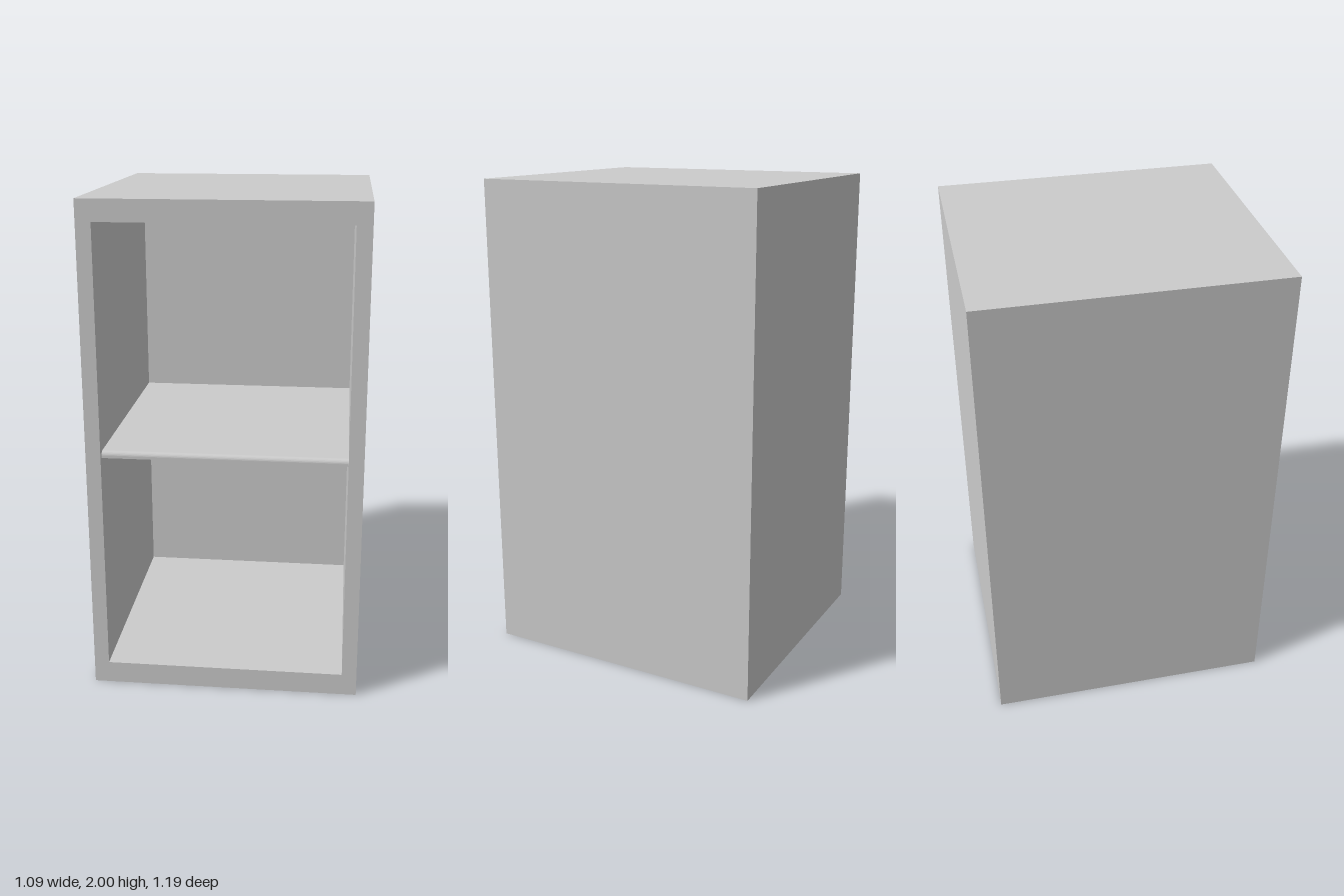
import * as THREE from 'three';

const W = 1.09, H = 2, D = 1.19;          // outer size
const IN_X = 0.485, IN_LOW = 0.09, IN_TOP = 1.915; // opening
const BACK = 0.155;                        // back panel thickness

const material = new THREE.MeshStandardMaterial({ color: 0xcccccc });

function part(name, geometry) {
  const mesh = new THREE.Mesh(geometry, material);
  mesh.name = name;
  return mesh;
}

// Closed rectangle outline, for a shape or a hole
function rectangle(Type, x, y0, y1) {
  return new Type([[-x, y0], [x, y0], [x, y1], [-x, y1]].map(p => new THREE.Vector2(...p)));
}

export function createModel() {
  const group = new THREE.Group();
  group.name = 'cabinet';

  // Sides, top and bottom as one frame around the opening
  const outline = rectangle(THREE.Shape, W / 2, 0, H);
  outline.holes.push(rectangle(THREE.Path, IN_X, IN_LOW, IN_TOP));
  const frame = new THREE.ExtrudeGeometry(outline, { depth: D - BACK, bevelEnabled: false });
  frame.translate(0, 0, -D / 2 + BACK);
  group.add(part('frame', frame));

  // Thick back panel
  const back = new THREE.BoxGeometry(W, H, BACK);
  back.translate(0, H / 2, -D / 2 + BACK / 2);
  group.add(part('backPanel', back));

  // Thin shelf with a rounded upper front edge, slightly set back
  const low = 0.99, top = 1.017, front = 0.575, r = 0.018;
  const inner = -D / 2 + BACK;
  const profile = new THREE.Shape();
  profile.moveTo(inner, low);
  profile.lineTo(front, low);
  profile.lineTo(front, top - r);
  profile.absarc(front - r, top - r, r, 0, Math.PI / 2, false);
  profile.lineTo(inner, top);
  const shelf = new THREE.ExtrudeGeometry(profile, { depth: IN_X * 2, bevelEnabled: false, curveSegments: 6 });
  shelf.translate(0, 0, -IN_X);
  shelf.rotateY(-Math.PI / 2);
  group.add(part('shelf', shelf));

  return group;
}
